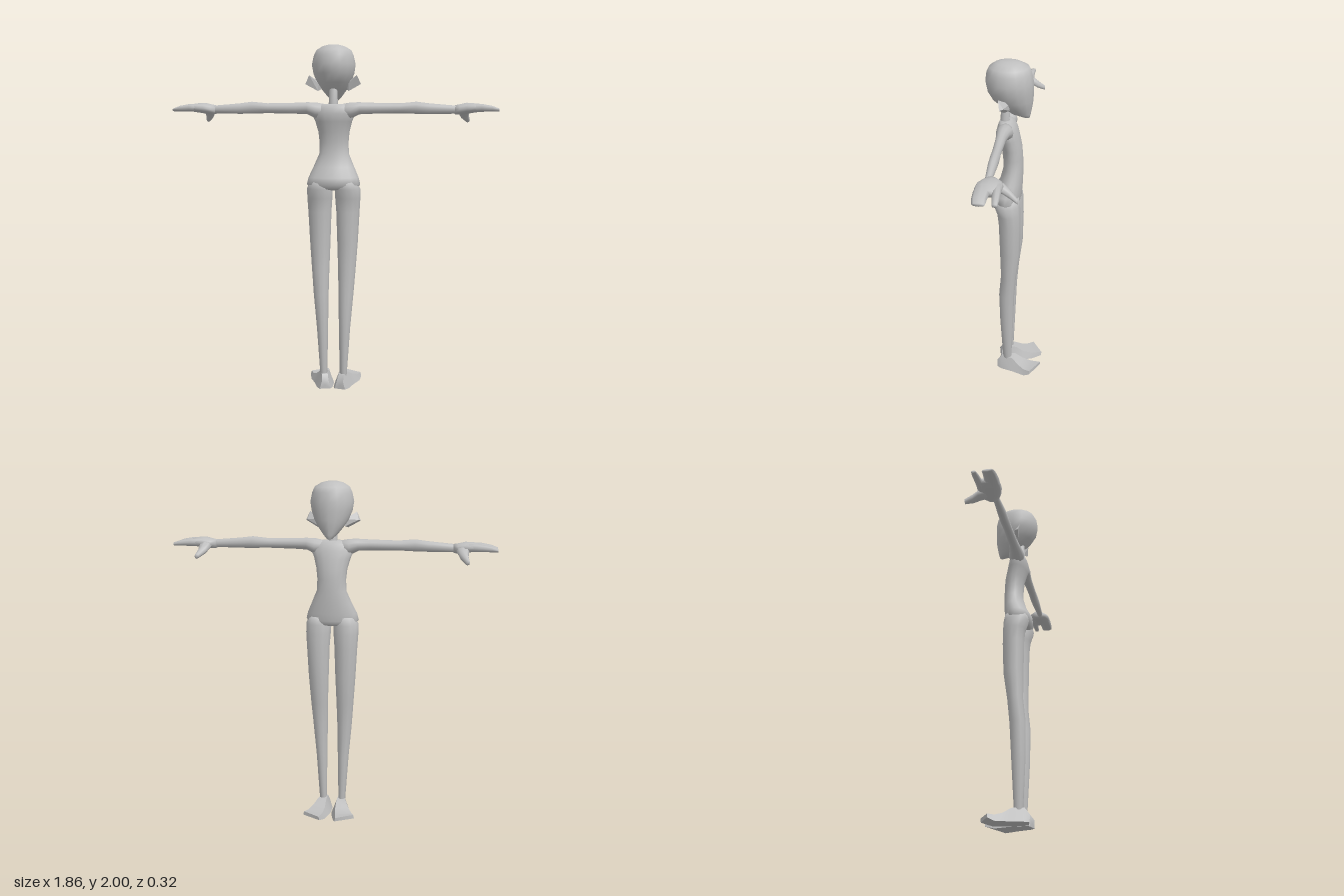
import * as THREE from 'three';
import { toCreasedNormals } from 'three/addons/utils/BufferGeometryUtils.js';
import { ConvexGeometry } from 'three/addons/geometries/ConvexGeometry.js';

const clay = new THREE.MeshStandardMaterial({ color: 0xbfbfbf });
clay.name = 'grey clay';

// Skins a list of equal-length closed rings, caps both ends, and faces the surface outward.
function skin(rings) {
  const n = rings[0].length, pts = rings.flat(), idx = [];
  for (let i = 0; i < rings.length - 1; i++) {
    for (let j = 0; j < n; j++) {
      const a = i * n + j, b = i * n + (j + 1) % n;
      idx.push(a, b, a + n, b, b + n, a + n);
    }
  }
  [0, rings.length - 1].forEach((r, end) => {
    const mid = new THREE.Vector3();
    rings[r].forEach(p => mid.addScaledVector(p, 1 / n));
    const c = pts.push(mid) - 1;
    for (let j = 0; j < n; j++) {
      const a = r * n + j, b = r * n + (j + 1) % n;
      idx.push(c, end ? a : b, end ? b : a);
    }
  });
  let volume = 0;
  for (let i = 0; i < idx.length; i += 3) {
    volume += pts[idx[i]].dot(pts[idx[i + 1]].clone().cross(pts[idx[i + 2]]));
  }
  if (volume < 0) idx.reverse();
  const geo = new THREE.BufferGeometry().setFromPoints(pts);
  geo.setIndex(idx);
  geo.computeVertexNormals();
  return geo;
}

// Oval sections along one axis: [position, centre1, centre2, radius1, radius2].
function loft(axis, sections, side = 1, sides = 12) {
  return skin(sections.map(([t, c1, c2, r1, r2]) =>
    Array.from({ length: sides }, (_, j) => {
      const a = j / sides * Math.PI * 2;
      const u = c1 + r1 * Math.cos(a), v = c2 + r2 * Math.sin(a);
      const p = axis === 'x' ? [t, u, v] : axis === 'y' ? [u, t, v] : [u, v, t];
      return new THREE.Vector3(p[0] * side, p[1], p[2]);
    })));
}

// Upright sections from rows of [y, half width, front z, back z].
const upright = rows => rows.map(([y, w, f, b]) => [y, 0, (f + b) / 2, w, (b - f) / 2]);

// Foot sections from heel to toe: [inner x, inner z, outer x, outer z, height, inset, sole y].
const footRows = [
  [0.012, 0.09, 0.075, 0.106, 0.045, 0.012, 0],
  [0.003, 0.065, 0.095, 0.078, 0.083, 0.03, 0],
  [0.002, -0.005, 0.115, 0.01, 0.08, 0.03, 0],
  [0.01, -0.05, 0.132, -0.032, 0.05, 0.022, 0],
  [0.025, -0.105, 0.148, -0.07, 0.036, 0.014, 0],
  [0.045, -0.165, 0.156, -0.105, 0.04, 0.006, 0.018],
];

export function createModel() {
  const model = new THREE.Group();
  const add = (name, geo) => {
    const mesh = new THREE.Mesh(geo, clay);
    mesh.name = name;
    model.add(mesh);
  };

  // Egg-shaped head narrowing to a chin at the -z side
  add('head', loft('y', upright([
    [1.687, 0.014, -0.08, -0.05], [1.71, 0.04, -0.086, 0.02], [1.75, 0.072, -0.094, 0.07],
    [1.79, 0.098, -0.1, 0.12], [1.84, 0.117, -0.102, 0.15], [1.89, 0.125, -0.102, 0.16],
    [1.94, 0.114, -0.092, 0.153], [1.97, 0.1, -0.078, 0.138], [1.992, 0.062, -0.035, 0.105],
    [2.0, 0.03, 0.0, 0.075],
  ]), 1, 16));
  add('neck', loft('y', upright([
    [1.63, 0.034, 0.01, 0.085], [1.67, 0.026, 0.03, 0.08], [1.77, 0.024, 0.025, 0.075],
  ])));

  // Torso from the crotch up to the shoulder line
  add('torso', loft('y', upright([
    [1.175, 0.05, 0.0, 0.06], [1.185, 0.135, -0.03, 0.1], [1.21, 0.155, -0.038, 0.121],
    [1.25, 0.145, -0.041, 0.119], [1.31, 0.118, -0.046, 0.085], [1.385, 0.086, -0.047, 0.065],
    [1.45, 0.084, -0.046, 0.067], [1.51, 0.09, -0.041, 0.073], [1.57, 0.106, -0.028, 0.09],
    [1.615, 0.125, -0.016, 0.1], [1.65, 0.115, 0.0, 0.09], [1.668, 0.07, 0.02, 0.08],
  ]), 1, 16));

  for (const s of [1, -1]) {
    const label = s > 0 ? 'left' : 'right';

    // Leg rows: [y, inner x, outer x, front z, back z]
    add(label + 'Leg', loft('y', [
      [1.23, 0.02, 0.135, -0.03, 0.105], [1.185, 0.006, 0.155, -0.038, 0.114],
      [1.13, 0.008, 0.155, -0.041, 0.094], [1.05, 0.014, 0.15, -0.042, 0.085],
      [0.865, 0.02, 0.14, -0.037, 0.08], [0.7, 0.026, 0.128, -0.015, 0.076],
      [0.56, 0.029, 0.117, -0.003, 0.089], [0.36, 0.032, 0.099, 0.005, 0.085],
      [0.07, 0.037, 0.079, 0.018, 0.069],
    ].map(([y, i, o, f, b]) => [y, (i + o) / 2, (f + b) / 2, (o - i) / 2, (b - f) / 2]), s));

    add(label + 'Foot', toCreasedNormals(skin(footRows.map(([xi, zi, xo, zo, h, k, y]) => [
      new THREE.Vector3(xi * s, y, zi), new THREE.Vector3(xo * s, y, zo),
      new THREE.Vector3((xo - k) * s, h, zo), new THREE.Vector3((xi + k) * s, h, zi),
    ])), 0.7));

    // Arm with a slight swelling at the elbow
    add(label + 'Arm', loft('x', [
      [0.04, 1.63, 0.045, 0.037, 0.035], [0.1, 1.632, 0.045, 0.046, 0.048],
      [0.15, 1.645, 0.048, 0.034, 0.036], [0.22, 1.645, 0.05, 0.031, 0.028],
      [0.38, 1.645, 0.05, 0.028, 0.024], [0.47, 1.648, 0.048, 0.034, 0.025],
      [0.54, 1.643, 0.05, 0.03, 0.024], [0.7, 1.637, 0.05, 0.022, 0.016],
    ], s));

    // Mitten hand: palm, index finger, joined fingers and a drooping thumb
    add(label + 'Palm', loft('x', [
      [0.685, 1.637, 0.035, 0.025, 0.035], [0.71, 1.638, 0.03, 0.029, 0.055],
      [0.75, 1.645, 0.032, 0.031, 0.066], [0.79, 1.647, 0.034, 0.027, 0.066],
      [0.835, 1.645, 0.036, 0.018, 0.058],
    ], s));
    add(label + 'IndexFinger', loft('x', [
      [0.75, 1.645, -0.008, 0.023, 0.022], [0.83, 1.646, -0.01, 0.021, 0.021],
      [0.89, 1.642, -0.013, 0.016, 0.018], [0.93, 1.636, -0.014, 0.009, 0.013],
    ], s, 8));
    add(label + 'JoinedFingers', loft('x', [
      [0.75, 1.646, 0.06, 0.025, 0.037], [0.83, 1.648, 0.06, 0.022, 0.04],
      [0.89, 1.643, 0.062, 0.016, 0.036], [0.928, 1.636, 0.06, 0.009, 0.031],
    ], s, 8));
    add(label + 'Thumb', loft('z', [
      [0.02, 0.735, 1.637, 0.036, 0.022], [-0.03, 0.738, 1.627, 0.035, 0.024],
      [-0.06, 0.745, 1.605, 0.025, 0.022], [-0.1, 0.766, 1.577, 0.013, 0.014],
    ], s, 8));

    // Flaring wedge-shaped ear
    add(label + 'Ear', new ConvexGeometry([
      [0.075, 1.79, 0.02], [0.075, 1.75, 0.02], [0.085, 1.785, 0.05], [0.088, 1.742, 0.05],
      [0.135, 1.83, 0.075], [0.158, 1.78, 0.066], [0.148, 1.785, 0.045],
    ].map(([x, y, z]) => new THREE.Vector3(x * s, y, z))));
  }
  return model;
}
